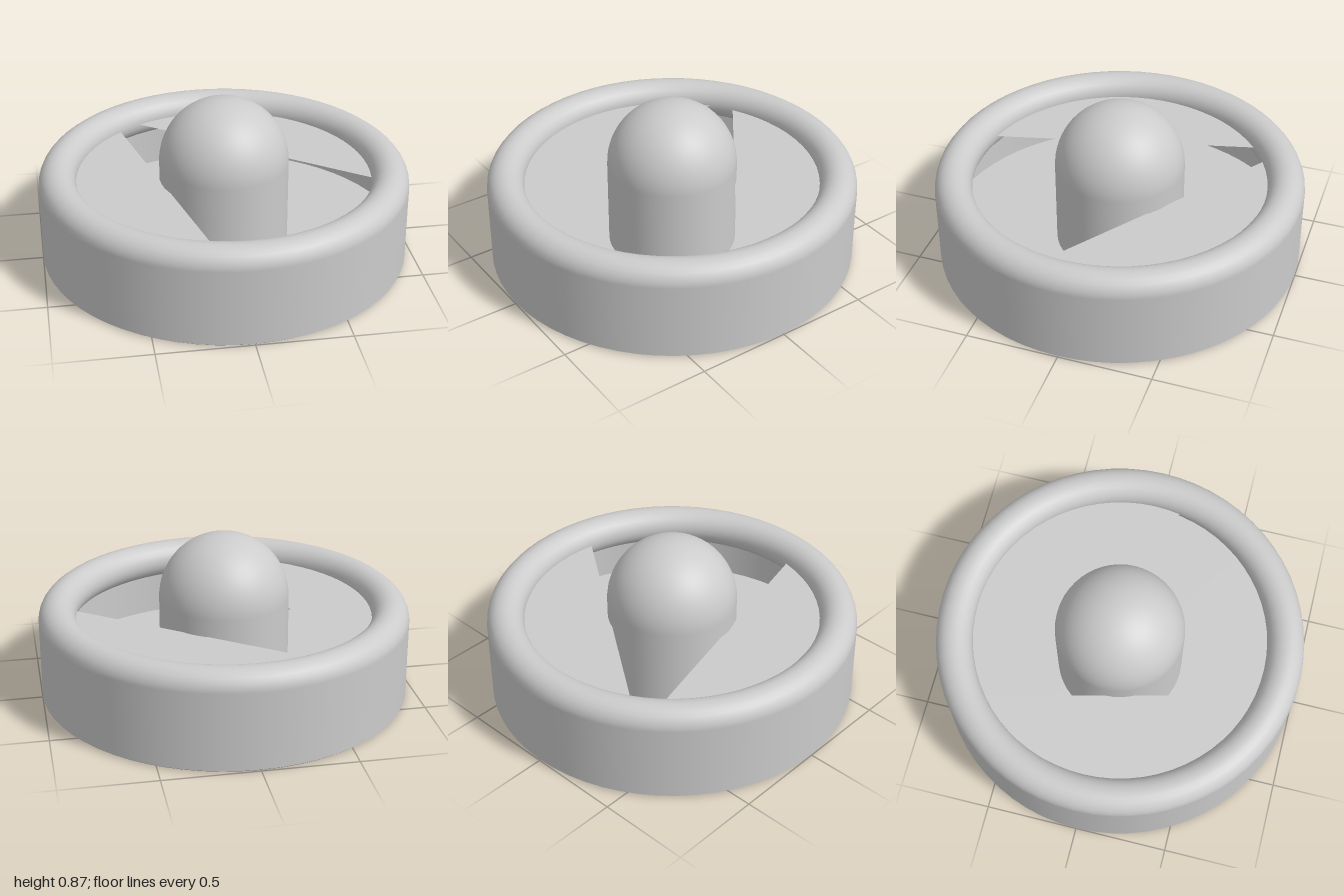
import * as THREE from 'three';

const SEG = 64;
const BASE_TOP = 0.045, RIM_Y = 0.427, TUBE = 0.1;
const POST_R = 0.35, POST_Y = 0.523;

export function createModel() {
  const group = new THREE.Group();
  const solid = new THREE.MeshStandardMaterial({ color: 0xcccccc });
  const thin = new THREE.MeshStandardMaterial({ color: 0xcccccc, side: THREE.DoubleSide });

  const add = (name, geometry, material = solid, y = 0) => {
    const mesh = new THREE.Mesh(geometry, material);
    mesh.name = name;
    mesh.position.y = y;
    group.add(mesh);
    return mesh;
  };

  // Base disc with a small chamfer along its bottom edge
  const chamfer = 0.008;
  add('baseDisc', new THREE.CylinderGeometry(1, 1, BASE_TOP - chamfer, SEG), solid, (BASE_TOP + chamfer) / 2);
  add('baseChamfer', new THREE.CylinderGeometry(1, 0.99, chamfer, SEG), solid, chamfer / 2);

  // Thin outer wall
  const wallH = RIM_Y - BASE_TOP;
  add('outerWall', new THREE.CylinderGeometry(1, 1, wallH, SEG, 1, true), thin, BASE_TOP + wallH / 2);

  // Rounded rim
  add('rim', new THREE.TorusGeometry(1 - TUBE, TUBE, 24, SEG).rotateX(Math.PI / 2), solid, RIM_Y);

  // Two deck plates, each a circle segment, leaving a wedge opening between them
  const half = THREE.MathUtils.degToRad(70);
  [['deckPlateRight', -166], ['deckPlateLeft', 54]].forEach(([name, degrees]) => {
    const mid = THREE.MathUtils.degToRad(degrees);
    const segment = new THREE.Shape().absarc(0, 0, 0.995, mid - half, mid + half, false);
    add(name, new THREE.ShapeGeometry(segment, 32).rotateX(-Math.PI / 2), thin, RIM_Y);
  });

  // Round post with a domed top
  const profile = [new THREE.Vector2(POST_R, BASE_TOP)];
  for (let i = 0; i <= 20; i++) {
    const a = (i / 20) * Math.PI / 2;
    profile.push(new THREE.Vector2(i === 20 ? 0 : POST_R * Math.cos(a), POST_Y + POST_R * Math.sin(a)));
  }
  add('domedPost', new THREE.LatheGeometry(profile, 48));

  return group;
}
